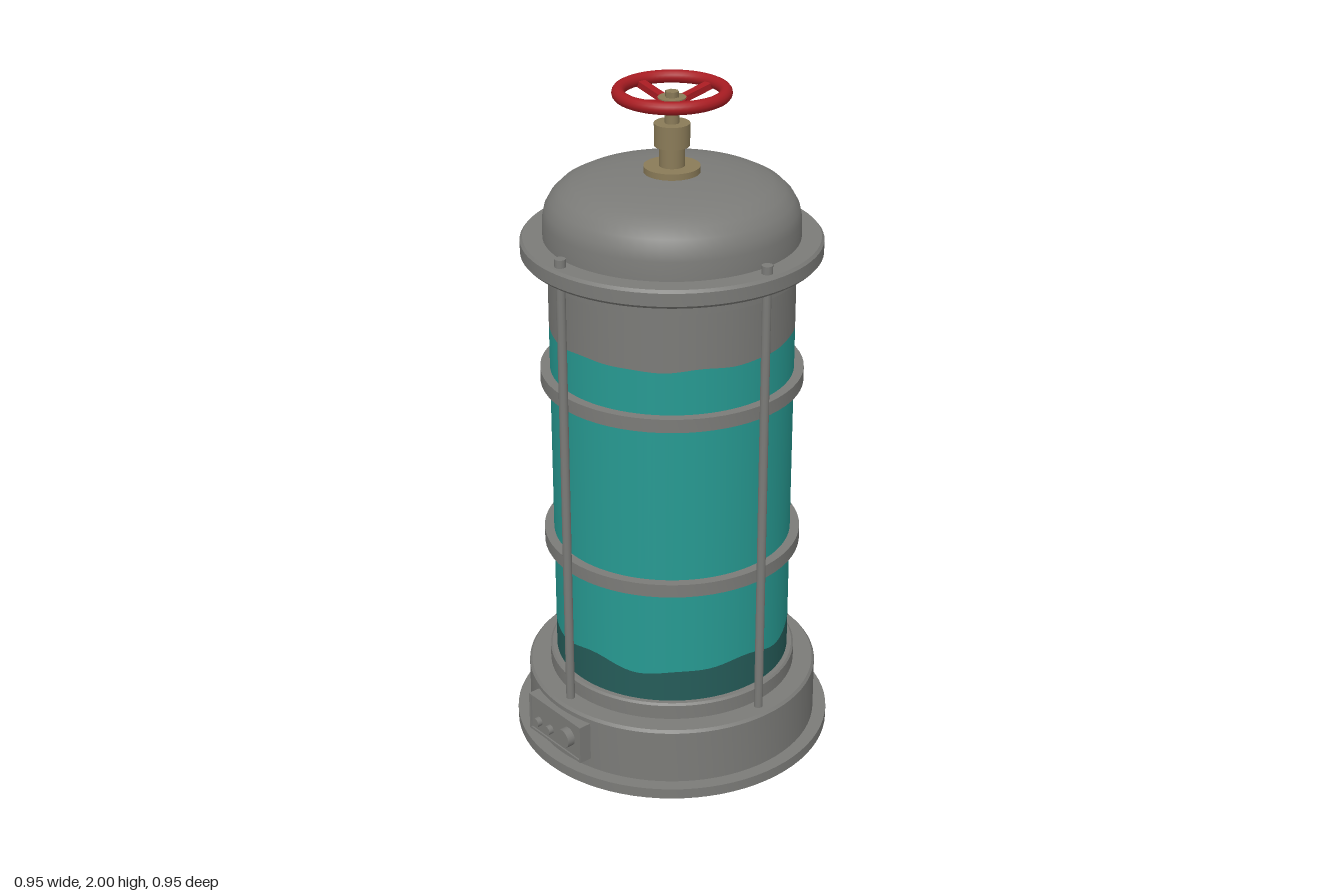
import * as THREE from 'three';
import { toCreasedNormals } from 'three/addons/utils/BufferGeometryUtils.js';

const material = (name, color) => {
  const m = new THREE.MeshStandardMaterial({ color });
  m.name = name;
  return m;
};

export function createModel() {
  const steel = material('grey steel', 0x7b7b78);
  const teal = material('teal liquid', 0x279a92);
  const sludge = material('dark teal sediment', 0x255c59);
  const red = material('red paint', 0xa81c22);
  const brass = material('brass', 0x8a7b58);
  const group = new THREE.Group();

  const add = (name, geometry, mat, x = 0, y = 0, z = 0, parent = group) => {
    const mesh = new THREE.Mesh(geometry, mat);
    mesh.name = name;
    mesh.position.set(x, y, z);
    parent.add(mesh);
    return mesh;
  };

  // Upright disc or drum between two heights
  const drum = (name, r, y0, y1, mat, sides = 64, x = 0, z = 0) =>
    add(name, new THREE.CylinderGeometry(r, r, y1 - y0, sides), mat, x, (y0 + y1) / 2, z);

  // Turned part with sharp edges
  const turned = (name, points, mat, sides = 64) => add(name, toCreasedNormals(
    new THREE.LatheGeometry(points.map(([x, y]) => new THREE.Vector2(x, y)), sides), 0.6), mat);

  // Curved wall strip whose lower and upper edges follow functions of the angle
  const wall = (name, r, low, high, mat, a0 = 0, a1 = Math.PI * 2, n = 96) => {
    const pos = [], normal = [], index = [];
    for (let i = 0; i <= n; i++) {
      const a = a0 + (a1 - a0) * i / n, s = Math.sin(a), c = Math.cos(a);
      pos.push(r * s, low(a), r * c, r * s, high(a), r * c);
      normal.push(s, 0, c, s, 0, c);
      if (i < n) index.push(2 * i, 2 * i + 2, 2 * i + 3, 2 * i, 2 * i + 3, 2 * i + 1);
    }
    const g = new THREE.BufferGeometry();
    g.setAttribute('position', new THREE.Float32BufferAttribute(pos, 3));
    g.setAttribute('normal', new THREE.Float32BufferAttribute(normal, 3));
    g.setIndex(index);
    return add(name, g, mat);
  };

  // Base
  turned('base', [[0, 0], [0.475, 0], [0.475, 0.032], [0.435, 0.032], [0.435, 0.198],
    [0.428, 0.206], [0.37, 0.206], [0.37, 0.25], [0.364, 0.256], [0.34, 0.256]], steel, 80);

  // Tank with sediment, liquid and empty top
  const sedimentLine = a => 0.355 + 0.01 * Math.sin(5 * a + 1) + 0.006 * Math.sin(9 * a);
  const liquidLine = a => 1.307 + 0.003 * Math.sin(7 * a) + 0.002 * Math.sin(12 * a + 1);
  wall('sediment', 0.35, () => 0.25, sedimentLine, sludge);
  wall('liquid', 0.35, sedimentLine, liquidLine, teal);
  wall('emptyTankTop', 0.35, liquidLine, () => 1.5, steel);

  // Small stain at the left-hand rear of the tank
  const s0 = -1.95, s1 = -1.3;
  const bulge = a => 0.02 * Math.sin(Math.PI * (a - s0) / (s1 - s0));
  wall('stain', 0.352, a => 0.686 - bulge(a), a => 0.686 + bulge(a) * 0.8, sludge, s0, s1, 16);

  // Top flange
  turned('topFlange', [[0.34, 1.482], [0.37, 1.482], [0.37, 1.522], [0.418, 1.522], [0.425, 1.53],
    [0.425, 1.567], [0.418, 1.575], [0.34, 1.575]], steel, 80);

  // Domed lid
  turned('dome', [[0.362, 1.57], [0.361, 1.63], [0.355, 1.658], [0.34, 1.685], [0.315, 1.71],
    [0.28, 1.728], [0.23, 1.741], [0.16, 1.751], [0.08, 1.756], [0, 1.757]], steel);

  // Cage hoops
  for (const y of [0.64, 1.158]) {
    turned('cageHoop', [[0.345, y - 0.02], [0.378, y - 0.02], [0.378, y + 0.02],
      [0.345, y + 0.02]], steel);
  }

  // Cage rods with bolt heads
  for (let i = 0; i < 4; i++) {
    const a = i * Math.PI / 2, x = 0.393 * Math.sin(a), z = 0.393 * Math.cos(a);
    drum('cageRod', 0.013, 0.2, 1.53, steel, 12, x, z);
    drum('rodBolt', 0.016, 1.57, 1.598, steel, 12, x, z);
  }

  // Control panel
  add('panelPlate', new THREE.BoxGeometry(0.246, 0.122, 0.05), steel, 0, 0.124, 0.426);
  for (const side of [-1, 1]) {
    add('panelRim', new THREE.BoxGeometry(0.246, 0.007, 0.006), steel, 0, 0.124 + side * 0.0575, 0.453);
    add('panelRim', new THREE.BoxGeometry(0.007, 0.122, 0.006), steel, side * 0.1195, 0.124, 0.453);
  }
  for (const [x, y, r, depth] of [[-0.08, 0.105, 0.014, 0.016], [-0.025, 0.105, 0.014, 0.016],
    [0.063, 0.126, 0.029, 0.024]]) {
    add('panelKnob', new THREE.CylinderGeometry(r, r, depth, 20), steel, x, y, 0.451 + depth / 2)
      .rotation.x = Math.PI / 2;
  }

  // Valve body
  drum('valveFlange', 0.079, 1.75, 1.774, brass, 40);
  drum('valveNeck', 0.036, 1.77, 1.835, brass, 32);
  drum('valveCollar', 0.05, 1.832, 1.896, brass, 32);
  drum('valveStem', 0.02, 1.89, 1.965, brass, 24);
  drum('valveNut', 0.02, 1.96, 1.985, brass, 6);

  // Hand wheel with sloping spokes
  const wheel = new THREE.Group();
  wheel.name = 'handWheel';
  group.add(wheel);
  add('wheelRim', new THREE.TorusGeometry(0.147, 0.018, 14, 56), red, 0, 1.982, 0, wheel)
    .rotation.x = Math.PI / 2;
  add('wheelHub', new THREE.CylinderGeometry(0.042, 0.036, 0.026, 32), red, 0, 1.953, 0, wheel);
  drum('hubWasher', 0.039, 1.96, 1.969, brass, 32);
  for (let i = 0; i < 4; i++) {
    const spoke = new THREE.Group();
    spoke.name = 'wheelSpoke';
    spoke.rotation.y = i * Math.PI / 2;
    wheel.add(spoke);
    add('spokeBar', new THREE.BoxGeometry(0.115, 0.018, 0.024), red, 0.087, 1.966, 0, spoke)
      .rotation.z = 0.2;
  }
  return group;
}
